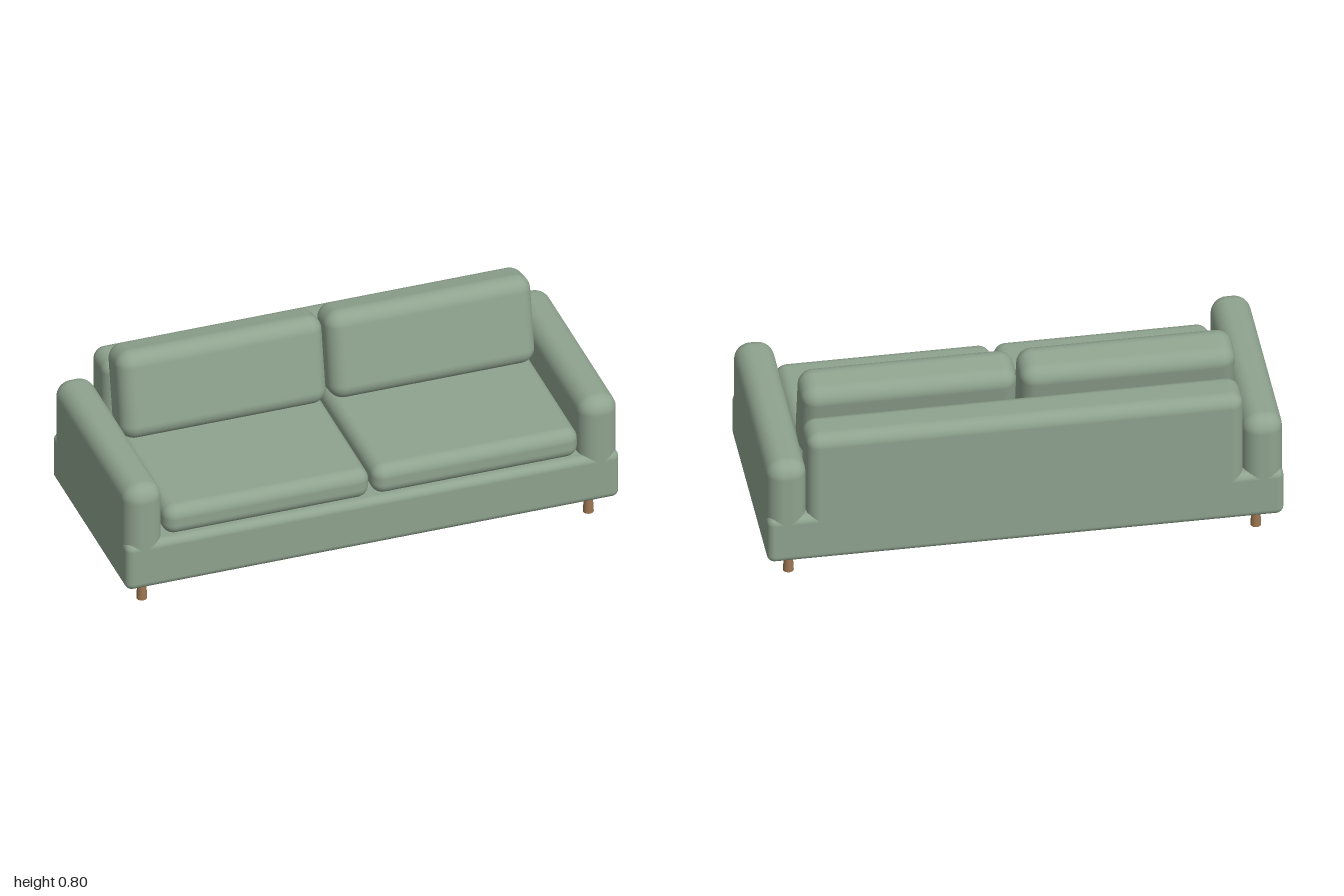
import * as THREE from 'three';
import { RoundedBoxGeometry } from 'three/addons/geometries/RoundedBoxGeometry.js';

export function createModel() {
  const sofa = new THREE.Group();
  sofa.name = 'sofa';

  const fabric = new THREE.MeshStandardMaterial({ color: 0x8fa38f });
  fabric.name = 'sage fabric';
  const wood = new THREE.MeshStandardMaterial({ color: 0x9a7550 });
  wood.name = 'brown wood';

  // Rounded upholstered block given by its size, centre and edge radius
  function block(name, [w, h, d], [x, y, z], radius) {
    const mesh = new THREE.Mesh(new RoundedBoxGeometry(w, h, d, 5, radius), fabric);
    mesh.name = name;
    mesh.position.set(x, y, z);
    sofa.add(mesh);
    return mesh;
  }

  // Frame: the arms and backrest sink into the base
  block('base', [2, 0.207, 0.864], [0, 0.2055, 0], 0.03);
  block('backrest', [1.69, 0.455, 0.172], [0, 0.4475, -0.346], 0.05);

  for (const [side, s] of [['left', 1], ['right', -1]]) {
    block(side + 'Arm', [0.155, 0.355, 0.864], [s * 0.9225, 0.3785, 0], 0.065);
    block(side + 'SeatCushion', [0.835, 0.125, 0.69], [s * 0.423, 0.3715, 0.078], 0.048);

    // Back cushion leans against the backrest
    const cushion = block(side + 'BackCushion', [0.835, 0.364, 0.18], [s * 0.423, 0.611, -0.168], 0.06);
    cushion.rotation.x = -0.19;

    // Legs flare slightly towards the floor
    for (const [end, e] of [['Front', 1], ['Back', -1]]) {
      const leg = new THREE.Mesh(new THREE.CylinderGeometry(0.015, 0.021, 0.11, 20), wood);
      leg.name = side + end + 'Leg';
      leg.position.set(s * 0.905, 0.055, e * 0.333);
      sofa.add(leg);
    }
  }

  return sofa;
}
